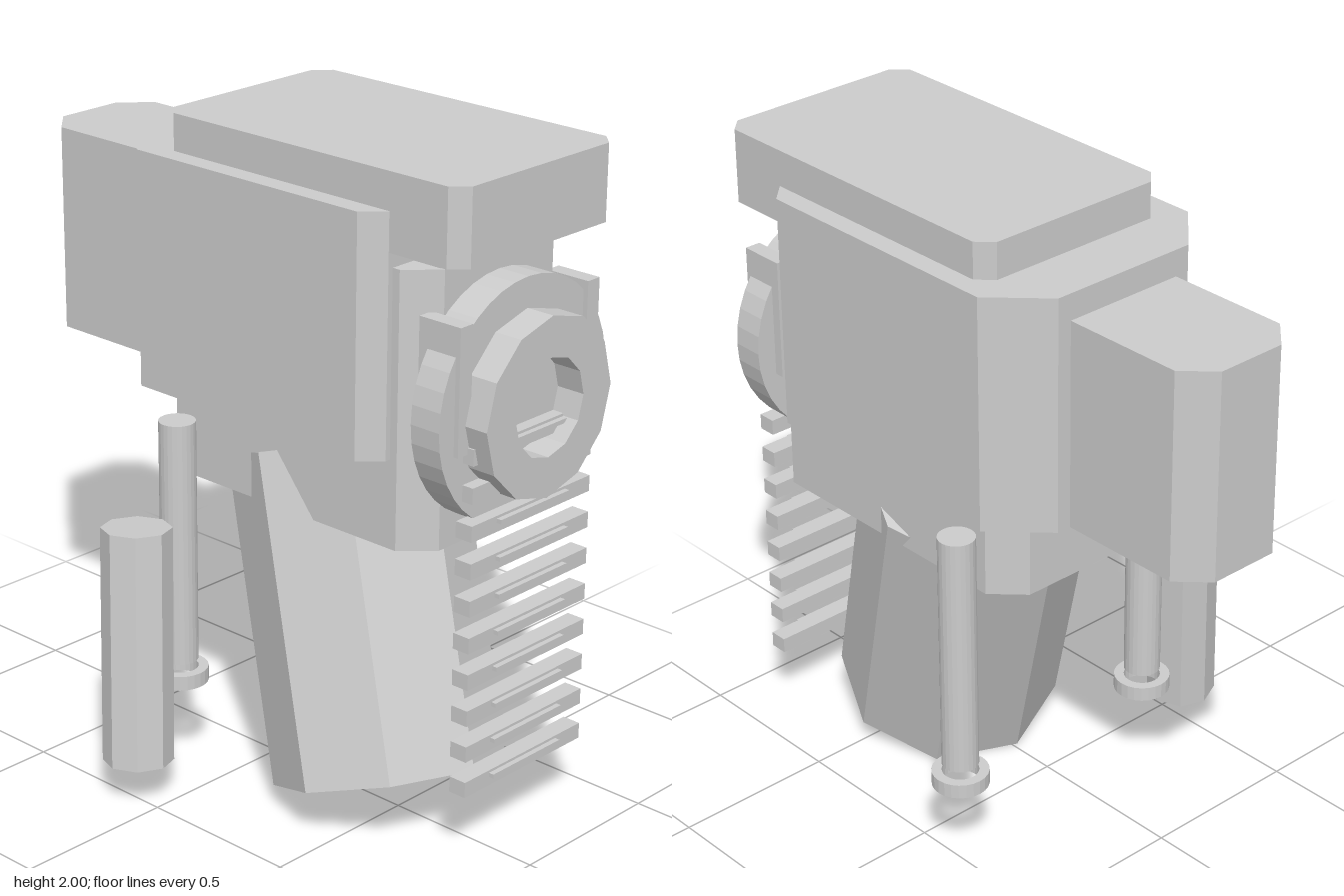
import * as THREE from 'three';

export function createModel() {
  const model = new THREE.Group();
  const grey = new THREE.MeshStandardMaterial({ color: 0xcccccc, flatShading: true });
  grey.name = 'plain grey';
  const CX = 0.128; // middle of the body

  const add = (name, geometry) => {
    const mesh = new THREE.Mesh(geometry, grey);
    mesh.name = name;
    model.add(mesh);
    return mesh;
  };

  const box = (name, x0, x1, y0, y1, z0, z1) => {
    add(name, new THREE.BoxGeometry(x1 - x0, y1 - y0, z1 - z0))
      .position.set((x0 + x1) / 2, (y0 + y1) / 2, (z0 + z1) / 2);
  };

  // Upright block with its vertical corners cut: separate cuts for back and front
  const cutBlock = (name, half, y0, y1, zBack, zFront, cutBack, cutFront) => {
    const b = cutBack, f = cutFront;
    const side = [[half - f, zFront], [half, zFront - f], [half, zBack + b], [half - b, zBack]];
    const outline = [...side, ...side.map(([x, z]) => [-x, z]).reverse()];
    const seen = outline.filter(([x, z], i) => {
      const [px, pz] = outline[(i + 7) % 8];
      return x !== px || z !== pz;
    });
    const shape = new THREE.Shape(seen.map(([x, z]) => new THREE.Vector2(x, -z)));
    const geometry = new THREE.ExtrudeGeometry(shape, { depth: y1 - y0, bevelEnabled: false });
    geometry.rotateX(-Math.PI / 2);
    add(name, geometry).position.set(CX, y0, 0);
  };

  // Flat ring along z
  const ring = (outer, inner, depth, sides) => {
    const circle = r => Array.from({ length: sides }, (_, i) => {
      const a = (i / sides) * Math.PI * 2;
      return new THREE.Vector2(r * Math.cos(a), r * Math.sin(a));
    });
    const shape = new THREE.Shape(circle(outer));
    shape.holes.push(new THREE.Path(circle(inner)));
    return new THREE.ExtrudeGeometry(shape, { depth, bevelEnabled: false });
  };

  // Eight-sided prism between two points, one edge kept towards the front
  const prism = (name, from, to, radius) => {
    const a = new THREE.Vector3(...from), b = new THREE.Vector3(...to);
    const up = b.clone().sub(a);
    const geometry = new THREE.CylinderGeometry(radius, radius, up.length(), 8);
    up.normalize();
    const front = new THREE.Vector3(0, -up.z, up.y).normalize();
    const across = up.clone().cross(front);
    const mesh = add(name, geometry);
    mesh.quaternion.setFromRotationMatrix(new THREE.Matrix4().makeBasis(across, up, front));
    mesh.position.copy(a.add(b).multiplyScalar(0.5));
  };

  // Body blocks
  cutBlock('lid', 0.328, 1.775, 2.0, -0.25, 0.855, 0.045, 0.045);
  cutBlock('mainBody', 0.39, 1.18, 1.89, -0.44, 0.61, 0.15, 0.06);
  cutBlock('rearBlock', 0.195, 1.18, 1.81, -0.91, -0.43, 0.085, 0);
  cutBlock('innerBody', 0.313, 0.915, 1.73, -0.31, 0.72, 0.088, 0.085);
  box('lidSupport', -0.1, 0.356, 1.7, 1.78, 0.3, 0.705);

  // Round front plate with its faceted collar and side lugs
  const plate = add('frontPlate', new THREE.CylinderGeometry(0.355, 0.355, 0.1, 40));
  plate.rotation.x = Math.PI / 2;
  plate.position.set(CX, 1.325, 0.77);
  add('frontCollar', ring(0.265, 0.145, 0.09, 12)).position.set(CX, 1.325, 0.82);
  for (const s of [-1, 1]) {
    const x = CX + s * 0.268;
    box('sideLug', x - 0.025, x + 0.025, 1.24, 1.61, 0.69, 0.835);
  }

  // Ladder of slats hanging below the front plate
  for (let i = 0; i < 10; i++) {
    const y = 0.23 + i * 0.1117;
    box('slat', -0.125, 0.385, y - 0.024, y + 0.024, 0.8, 0.857);
    box('slatRib', -0.02, 0.275, y + 0.003, y + 0.016, 0.85, 0.873);
  }

  // Slanted grip and the loose prism beside it
  prism('grip', [-0.015, 0.113, 0.476], [0.131, 1.025, 0.148], 0.342);
  prism('sidePrism', [-0.488, 0.12, -0.09], [-0.437, 0.833, -0.135], 0.105);

  // Two rods with a ring under each
  for (const s of [-1, 1]) {
    const x = CX + s * 0.368;
    add('rod', new THREE.CylinderGeometry(0.055, 0.055, 0.76, 24)).position.set(x, 0.72, -0.165);
    const foot = add('rodRing', ring(0.085, 0.055, 0.045, 24));
    foot.rotation.x = -Math.PI / 2;
    foot.position.set(x, 0.27, -0.165);
  }
  return model;
}
